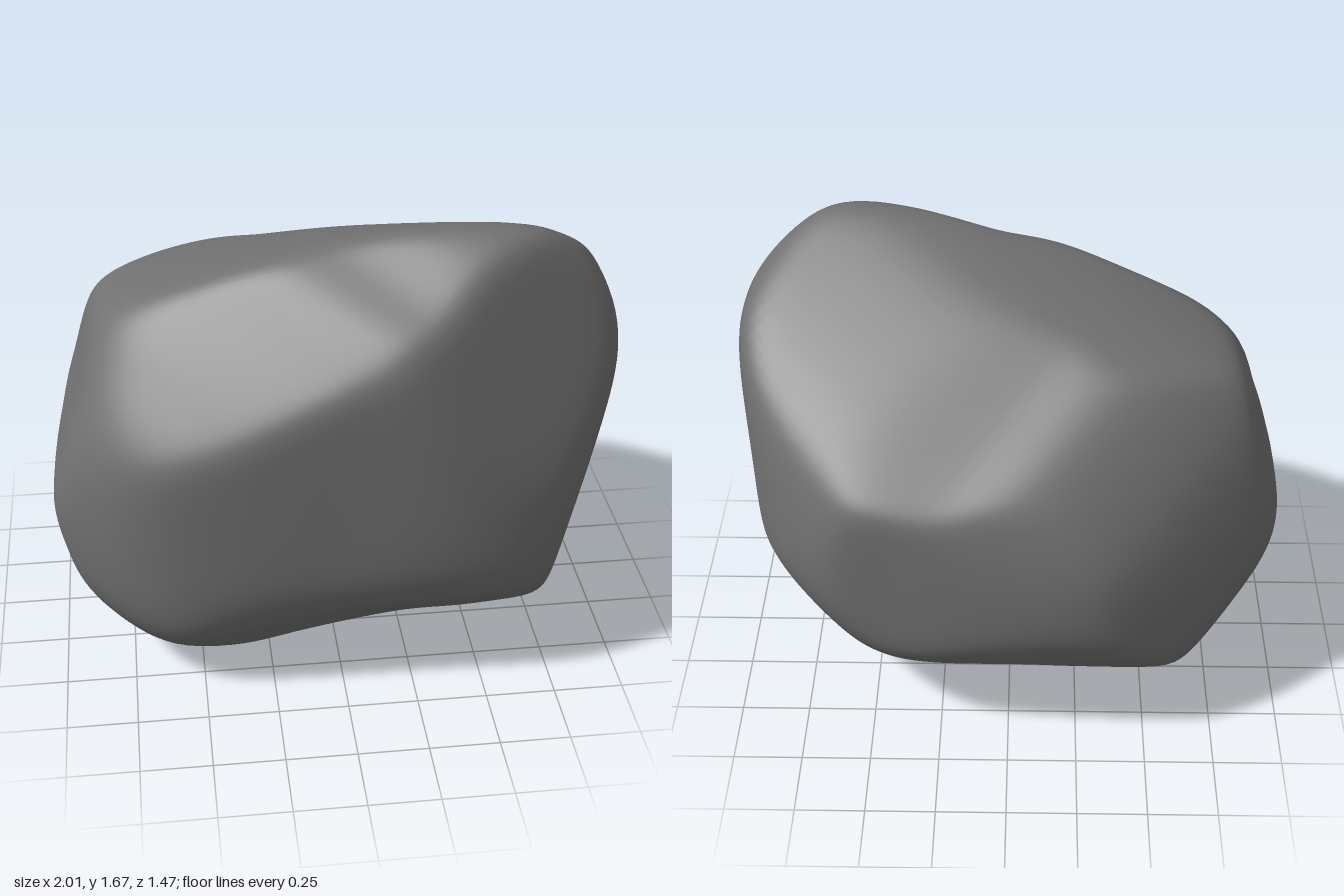
import * as THREE from 'three';
import { mergeVertices } from 'three/addons/utils/BufferGeometryUtils.js';

const CENTRE = new THREE.Vector3(0, 0.855, 0);
const SHARPNESS = 38; // higher gives crisper edges between facets
const SWELL = 1.024; // makes up for what the softened edges lose

// Axis-aligned outlines, measured from the ground
const FRONT = [ // x, y
  [-1, .65], [-.95, .83], [-.895, 1], [-.76, 1.36], [-.5, 1.49], [-.2, 1.595], [.35, 1.7],
  [.55, 1.71], [.78, 1.67], [.9, 1.5], [1, 1.17], [.97, .9], [.93, .58], [.83, .3], [.65, .13],
  [.42, .05], [.1, .05], [-.28, .01], [-.6, .05], [-.8, .13], [-.9, .32], [-.96, .5]];
const SIDE = [ // z, y
  [.32, 1.71], [.52, 1.64], [.63, 1.51], [.71, 1.3], [.735, .9], [.72, .6], [.67, .42], [.57, .16],
  [.44, .04], [.13, .005], [-.1, .03], [-.4, .17], [-.53, .3], [-.68, .49], [-.735, .65], [-.68, .96],
  [-.6, 1.14], [-.42, 1.3], [-.1, 1.55], [.18, 1.69]];
const TOP = [ // x, z
  [-.2, -.735], [.4, -.64], [.72, -.54], [.85, -.3], [.95, 0], [1, .28], [.95, .48], [.8, .6],
  [.4, .72], [0, .7], [-.4, .67], [-.65, .61], [-.85, .5], [-.98, .35], [-1, .15],
  [-.94, -.23], [-.75, -.46], [-.5, -.64]];

// Diagonal outlines, measured from the centre
const FRONT_DIAGONAL = [
  [-.975, -.18], [-.944, .08], [-.79, .39], [-.636, .58], [-.45, .64], [-.2, .66], [.07, .63],
  [.38, .5], [.66, .34], [.815, .18], [.877, -.11], [.846, -.36], [.69, -.6], [.506, -.82],
  [.34, -.895], [.01, -.83], [-.36, -.77], [-.56, -.77], [-.79, -.635], [-.944, -.39]];
const BACK_DIAGONAL = [
  [-.877, -.11], [-.85, .17], [-.765, .57], [-.62, .815], [-.457, .99], [-.284, 1.025], [-.13, .994],
  [.025, .914], [.2, .78], [.36, .685], [.52, .53], [.735, .31], [.9, .09], [.957, -.14],
  [.975, -.36], [.907, -.586], [.735, -.747], [.52, -.827], [.346, -.858], [.025, -.8],
  [-.19, -.73], [-.377, -.648], [-.59, -.574], [-.747, -.43]];
const UNDER_DIAGONAL = [
  [-1.006, .29], [-.98, .55], [-.89, .71], [-.69, .83], [-.457, .778], [-.1, .667], [.253, .506],
  [.488, .414], [.716, .148], [.815, -.11], [.858, -.31], [.81, -.51], [.654, -.74], [.407, -.93],
  [.18, -1.02], [.006, -.975], [-.21, -.82], [-.457, -.64], [-.7, -.51], [-.89, -.376], [-.963, -.11]];

// Facets that chip off the corners: normal, then a point on the facet
const FACETS = [
  [[1, .8, .8], [.88, 1.47, .55]],
  [[.38, .26, .88], [.8, 1.2, .48]],
  [[-.35, .58, .73], [-.5, 1.52, .265]],
  [[-1, -1, 1], [-.76, .15, .53]],
  [[.25, -.75, .6], [.5, .2, .51]],
  [[.9, -.2, .4], [.74, .45, .57]],
  [[1, .6, -1], [.73, 1.17, -.47]],
  [[-1, 1, -1], [-.69, 1.13, -.47]],
  [[.73, -.52, -.44], [.9, .5, -.1]],
  [[-1, -1, -1], [-.66, .3, -.48]],
];

// Gauges tell how far along a direction is, relative to the surface.
// This one projects on two axes and compares with a smooth closed outline.
function outlineGauge(points, right, up) {
  const curve = new THREE.CatmullRomCurve3(
    points.map(([a, b]) => new THREE.Vector3(a, b, 0)), true);
  const pts = curve.getPoints(140);
  return (d) => {
    const a = right.dot(d), b = up.dot(d);
    for (let i = 0; i < pts.length - 1; i++) {
      const p = pts[i], q = pts[i + 1];
      const sp = a * p.y - b * p.x, sq = a * q.y - b * q.x;
      if (sp * sq > 0 || sp === sq) continue;
      const t = sp / (sp - sq);
      const x = p.x + (q.x - p.x) * t, y = p.y + (q.y - p.y) * t;
      if (x * a + y * b > 0) return Math.hypot(a, b) / Math.hypot(x, y);
    }
    return 0;
  };
}

// Outline across the diagonal facing (sx, sz), tilted up or down
function diagonalGauge(points, sx, sz, tiltDegrees) {
  const tilt = THREE.MathUtils.degToRad(tiltDegrees);
  const toward = new THREE.Vector3(sx, 0, sz).normalize();
  const right = new THREE.Vector3(0, 1, 0).cross(toward);
  const up = new THREE.Vector3(0, Math.cos(tilt), 0).addScaledVector(toward, -Math.sin(tilt));
  return outlineGauge(points, right, up);
}

function facetGauge([n, p]) {
  const normal = new THREE.Vector3(...n);
  const depth = new THREE.Vector3(...p).sub(CENTRE).dot(normal);
  return (d) => Math.max(0, normal.dot(d) / depth);
}

export function createModel() {
  const X = new THREE.Vector3(1, 0, 0), Y = new THREE.Vector3(0, 1, 0), Z = new THREE.Vector3(0, 0, 1);
  const fromCentre = (points) => points.map(([a, y]) => [a, y - CENTRE.y]);
  const gauges = [
    outlineGauge(fromCentre(FRONT), X, Y),
    outlineGauge(fromCentre(SIDE), Z, Y),
    outlineGauge(TOP, X, Z),
    diagonalGauge(FRONT_DIAGONAL, 1, 1, 17.5),
    diagonalGauge(BACK_DIAGONAL, -1, -1, 17.5),
    diagonalGauge(UNDER_DIAGONAL, 1, -1, -31),
    ...FACETS.map(facetGauge),
  ];

  // Sphere pushed out to the softened intersection of outlines and facets
  let geometry = new THREE.IcosahedronGeometry(1, 36);
  geometry.deleteAttribute('uv');
  geometry.deleteAttribute('normal');
  geometry = mergeVertices(geometry, 1e-5);
  const pos = geometry.attributes.position;
  const d = new THREE.Vector3();
  for (let i = 0; i < pos.count; i++) {
    d.fromBufferAttribute(pos, i).normalize();
    let sum = 0;
    for (const gauge of gauges) sum += gauge(d) ** SHARPNESS;
    d.multiplyScalar(SWELL * sum ** (-1 / SHARPNESS)).add(CENTRE);
    pos.setXYZ(i, d.x, d.y, d.z);
  }
  geometry.computeVertexNormals();

  const boulder = new THREE.Mesh(geometry, new THREE.MeshStandardMaterial({ color: 0x707070 }));
  boulder.name = 'boulder';
  const group = new THREE.Group();
  group.name = 'rock';
  group.add(boulder);
  return group;
}
